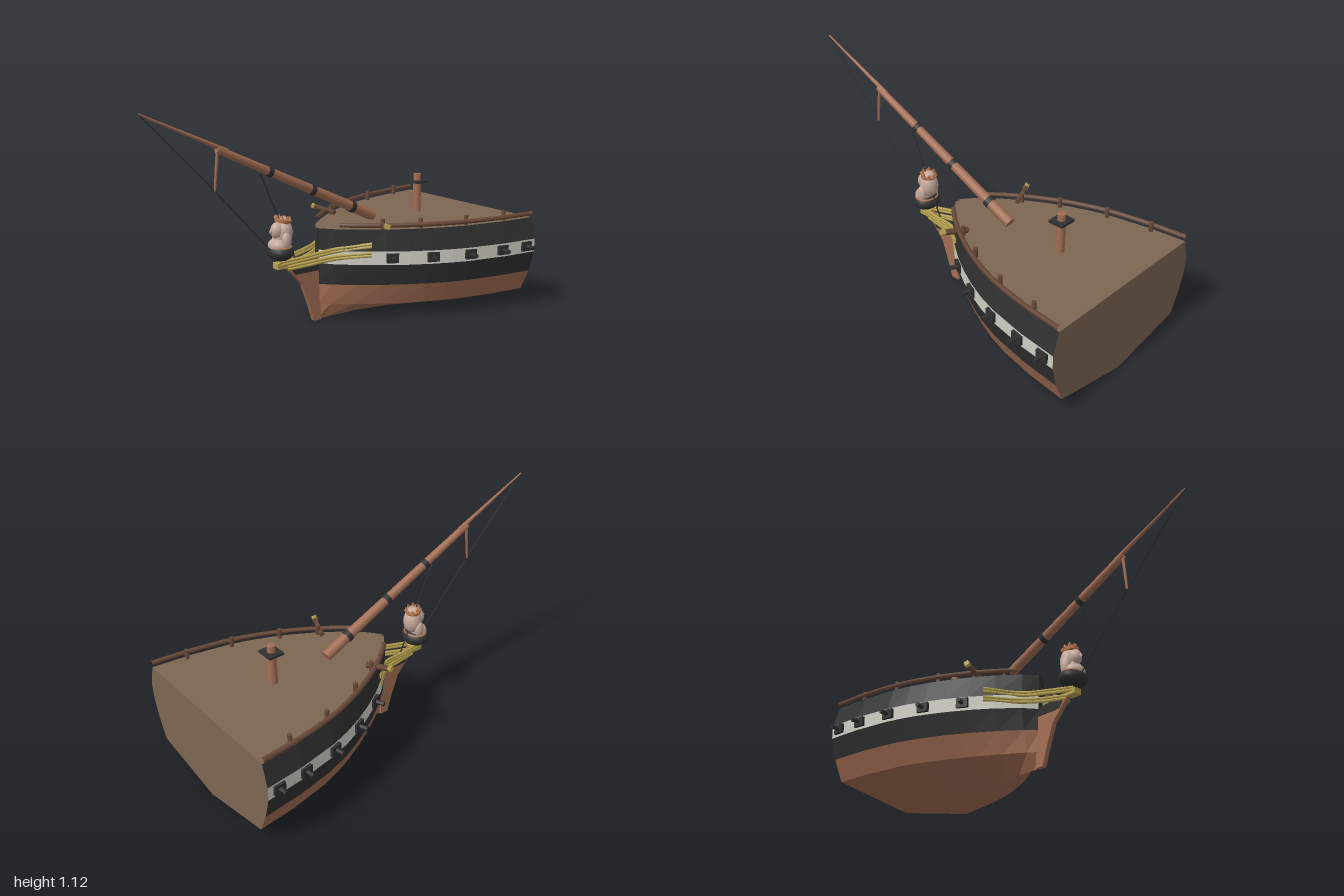
import * as THREE from 'three';

const mat = (name, color, side = THREE.FrontSide) => {
  const m = new THREE.MeshStandardMaterial({ color, side });
  m.name = name;
  return m;
};
const V = (x, y, z) => new THREE.Vector3(x, y, z);

// Hull lines: stations run bow to stern, levels run keel to deck
const STATIONS = [[0.05, 0.02], [0, 0.16], [-0.1, 0.345], [-0.2, 0.495], [-0.3, 0.62], [-0.4, 0.725],
  [-0.5, 0.81], [-0.6, 0.875], [-0.8, 0.955], [-1, 1]];
const LEVELS = [
  { y: 0, w: 0, e: 1 }, { y: 0.08, w: 0.425, e: 1.25 }, { y: 0.19, w: 0.475, e: 1.1 },
  { y: 0.3, w: 0.505, e: 1 }, { y: 0.37, w: 0.507, e: 1 }, { y: 0.48, w: 0.475, e: 1 },
];
function fullness(z) {
  for (let i = 1; i < STATIONS.length; i++) {
    const [z0, f0] = STATIONS[i - 1], [z1, f1] = STATIONS[i];
    if (z >= z1) return f0 + (f1 - f0) * (z - z0) / (z1 - z0);
  }
  return 1;
}
const hullPoint = (level, z, s = 1) => V(s * level.w * Math.pow(fullness(z), level.e), level.y, z);

function fromTriangles(points) {
  const g = new THREE.BufferGeometry().setFromPoints(points);
  g.computeVertexNormals();
  return g;
}
const quad = (list, a, b, c, d) => list.push(a, b, c, a, c, d);

export function createModel() {
  const root = new THREE.Group();
  root.name = 'shipBow';
  const black = mat('black paint', 0x303030);
  const copper = mat('copper timber', 0xa26d53);
  const white = mat('white band', 0xd0d0c6);
  const deckWood = mat('deck wood', 0x7d6652);
  const railWood = mat('rail wood', 0x6a4a38);
  const gold = mat('gold', 0xb8a24e);
  const stone = mat('pale figure', 0xc4a89b);
  const orange = mat('crown orange', 0xb9784e);

  const add = (name, geometry, material, parent = root) => {
    const m = new THREE.Mesh(geometry, material);
    m.name = name;
    parent.add(m);
    return m;
  };
  const rod = (name, a, b, r0, r1, material, sides = 10) => {
    const dir = b.clone().sub(a);
    const m = add(name, new THREE.CylinderGeometry(r1, r0, dir.length(), sides), material);
    m.position.copy(a).add(b).multiplyScalar(0.5);
    m.quaternion.setFromUnitVectors(V(0, 1, 0), dir.normalize());
    return m;
  };
  const box = (name, w, h, d, x, y, z, material) => {
    const m = add(name, new THREE.BoxGeometry(w, h, d), material);
    m.position.set(x, y, z);
    return m;
  };

  // Hull planking, one mesh per painted band
  const bands = [['bottomPlanking', copper], ['lowerPlanking', copper], ['lowerBlackBand', black],
    ['whiteGunBand', white], ['upperBlackBand', black]];
  bands.forEach(([name, material], k) => {
    const tris = [];
    for (let i = 1; i < STATIONS.length; i++) {
      const z0 = STATIONS[i - 1][0], z1 = STATIONS[i][0];
      for (const s of [1, -1]) {
        const a = hullPoint(LEVELS[k], z0, s), b = hullPoint(LEVELS[k], z1, s);
        const c = hullPoint(LEVELS[k + 1], z1, s), d = hullPoint(LEVELS[k + 1], z0, s);
        if (s > 0) quad(tris, a, b, c, d); else quad(tris, d, c, b, a);
      }
    }
    add(name, fromTriangles(tris), material);
  });

  // Deck and flat stern face
  const top = LEVELS[LEVELS.length - 1];
  const deck = [], stern = [];
  for (let i = 1; i < STATIONS.length; i++) {
    const z0 = STATIONS[i - 1][0], z1 = STATIONS[i][0];
    quad(deck, hullPoint(top, z0, -1), hullPoint(top, z0), hullPoint(top, z1), hullPoint(top, z1, -1));
  }
  for (let k = 1; k < LEVELS.length; k++) {
    quad(stern, hullPoint(LEVELS[k - 1], -1), hullPoint(LEVELS[k - 1], -1, -1),
      hullPoint(LEVELS[k], -1, -1), hullPoint(LEVELS[k], -1));
  }
  add('deck', fromTriangles(deck), deckWood);
  add('sternFace', fromTriangles(stern), deckWood);

  // Stem and beak, drawn in side profile (z, y)
  const profile = (name, pts, thick, material) => {
    const shape = new THREE.Shape(pts.map(([z, y]) => new THREE.Vector2(z, y)));
    const g = new THREE.ExtrudeGeometry(shape, { depth: thick, bevelEnabled: false });
    g.translate(0, 0, -thick / 2).rotateY(-Math.PI / 2);
    add(name, g, material);
  };
  profile('stem', [[0.03, 0], [0.075, 0], [0.1, 0.08], [0.145, 0.2], [0.2, 0.262], [0.265, 0.33],
    [0.22, 0.33], [0.17, 0.26], [0.03, 0.26]], 0.026, copper);
  profile('beakCheek', [[0.03, 0.262], [0.19, 0.262], [0.225, 0.31], [0.15, 0.315], [0.03, 0.3]], 0.03, black);
  box('stemHead', 0.024, 0.2, 0.012, 0, 0.38, 0.046, black);

  for (const s of [1, -1]) {
    const side = s > 0 ? 'left' : 'right';

    // Top rail and its posts
    const railPoints = [-0.02, -0.1, -0.2, -0.3, -0.4, -0.5, -0.6, -0.8, -1].map((z) => {
      const p = hullPoint(top, z, s);
      return V(p.x + s * 0.004, 0.502, z);
    });
    add(side + 'TopRail', new THREE.TubeGeometry(new THREE.CatmullRomCurve3(railPoints), 32, 0.012, 6), railWood);
    for (const z of [-0.2, -0.37, -0.6, -0.83]) {
      const x = hullPoint(top, z).x - 0.02;
      rod(side + 'RailPost', V(s * x, 0.47, z), V(s * x, 0.53, z), 0.011, 0.011, railWood, 8);
    }

    // Guns set square to the hull side
    for (const z of [-0.225, -0.405, -0.595, -0.785, -0.94]) {
      const p = hullPoint(LEVELS[3], z, s);
      const slope = (hullPoint(LEVELS[3], z - 0.04).x - hullPoint(LEVELS[3], z + 0.04).x) / 0.08;
      const gun = new THREE.Group();
      gun.name = side + 'Gun';
      gun.position.set(p.x, 0.337, z);
      gun.rotation.y = s * (Math.PI / 2 - Math.atan(slope) * 0.75);
      root.add(gun);
      add('gunPort', new THREE.BoxGeometry(0.06, 0.048, 0.03), black, gun);
      const barrel = new THREE.CylinderGeometry(0.009, 0.013, 0.06, 8).rotateX(Math.PI / 2);
      add('gunBarrel', barrel, black, gun).position.z = 0.025;
      const muzzle = new THREE.CylinderGeometry(0.012, 0.012, 0.01, 8).rotateX(Math.PI / 2);
      add('gunMuzzle', muzzle, black, gun).position.z = 0.05;
    }

    // Anchor beam with gold cap
    const inner = V(s * 0.18, 0.494, -0.2), outer = V(s * 0.295, 0.513, -0.157);
    rod(side + 'AnchorBeam', inner, outer, 0.015, 0.015, railWood, 4);
    rod(side + 'AnchorBeamCap', outer, V(s * 0.313, 0.516, -0.15), 0.018, 0.018, gold, 4);

    // Paired gold head rails sweeping to the beak
    const headRails = [
      [[0.207, 0.402, -0.14], [0.085, 0.372, 0], [0.045, 0.348, 0.16], [0.015, 0.333, 0.29]],
      [[0.207, 0.356, -0.14], [0.088, 0.335, 0], [0.04, 0.315, 0.14], [0.015, 0.305, 0.24]],
    ];
    headRails.forEach((pts) => {
      for (const dy of [0.007, -0.007]) {
        const curve = new THREE.CatmullRomCurve3(pts.map(([x, y, z]) => V(s * x, y + dy, z)));
        add(side + 'HeadRail', new THREE.TubeGeometry(curve, 12, 0.0085, 6), gold);
      }
    });
  }
  box('beakBlock', 0.046, 0.03, 0.06, 0, 0.322, 0.27, gold);

  // Mast stump and its square top
  rod('mastStump', V(0, 0.47, -0.62), V(0, 0.685, -0.62), 0.023, 0.02, copper, 14);
  box('mastPlate', 0.092, 0.012, 0.08, 0, 0.645, -0.62, black);

  // Bowsprit, boom and iron bands
  const foot = V(0, 0.497, -0.31), cap = V(0, 0.928, 0.615), tip = V(0, 1.115, 1);
  rod('bowsprit', foot, cap, 0.028, 0.018, copper, 14);
  rod('jibBoom', V(0, 0.915, 0.56), tip, 0.012, 0.004, copper, 10);
  for (const t of [0.15, 0.42, 0.69]) {
    const r = 0.0315 - 0.01 * t;
    rod('bowspritBand', foot.clone().lerp(cap, t - 0.013), foot.clone().lerp(cap, t + 0.013), r, r, black, 14);
  }

  // Striker spar and rigging
  const strikerEnd = V(0, 0.735, 0.63);
  rod('strikerSpar', V(0, 0.92, 0.612), strikerEnd, 0.008, 0.006, copper, 8);
  rod('outerStay', tip, strikerEnd, 0.003, 0.003, black, 5);
  rod('innerStay', strikerEnd, V(0, 0.35, 0.275), 0.003, 0.003, black, 5);
  rod('bobStay', V(0, 0.79, 0.38), V(0, 0.32, 0.172), 0.004, 0.004, black, 5);

  // Crowned bust on the beak
  const bust = new THREE.Group();
  bust.name = 'figurehead';
  root.add(bust);
  const blob = (name, x, y, z, rx, ry, rz, material) => {
    const m = add(name, new THREE.SphereGeometry(1, 16, 12), material, bust);
    m.position.set(x, y, z);
    m.scale.set(rx, ry, rz);
    return m;
  };
  blob('gown', 0, 0.392, 0.272, 0.076, 0.046, 0.066, black);
  const trim = add('gownTrim', new THREE.TorusGeometry(1, 0.09, 6, 24).rotateX(Math.PI / 2), orange, bust);
  trim.position.set(0, 0.417, 0.272);
  trim.scale.set(0.06, 0.07, 0.052);
  blob('chest', 0, 0.424, 0.282, 0.057, 0.04, 0.05, stone);
  blob('neck', 0, 0.46, 0.275, 0.03, 0.04, 0.03, stone);
  blob('hair', 0, 0.488, 0.252, 0.05, 0.066, 0.046, stone);
  for (const s of [1, -1]) blob('hairLock', s * 0.043, 0.45, 0.262, 0.02, 0.045, 0.026, stone);
  blob('face', 0, 0.5, 0.286, 0.032, 0.042, 0.038, stone);
  blob('nose', 0, 0.497, 0.324, 0.006, 0.011, 0.01, stone);

  const crown = new THREE.Group();
  crown.name = 'crown';
  crown.position.set(0, 0.543, 0.257);
  crown.rotation.x = -0.25;
  bust.add(crown);
  add('crownBand', new THREE.CylinderGeometry(0.042, 0.038, 0.018, 16), orange, crown);
  for (let i = 0; i < 8; i++) {
    const a = i * Math.PI / 4;
    const spike = add('crownPoint', new THREE.ConeGeometry(0.013, 0.026, 4), orange, crown);
    spike.position.set(Math.sin(a) * 0.035, 0.02, Math.cos(a) * 0.035);
    spike.rotation.y = a;
  }
  blob('hairTop', 0, 0.55, 0.255, 0.03, 0.016, 0.03, stone);
  return root;
}
